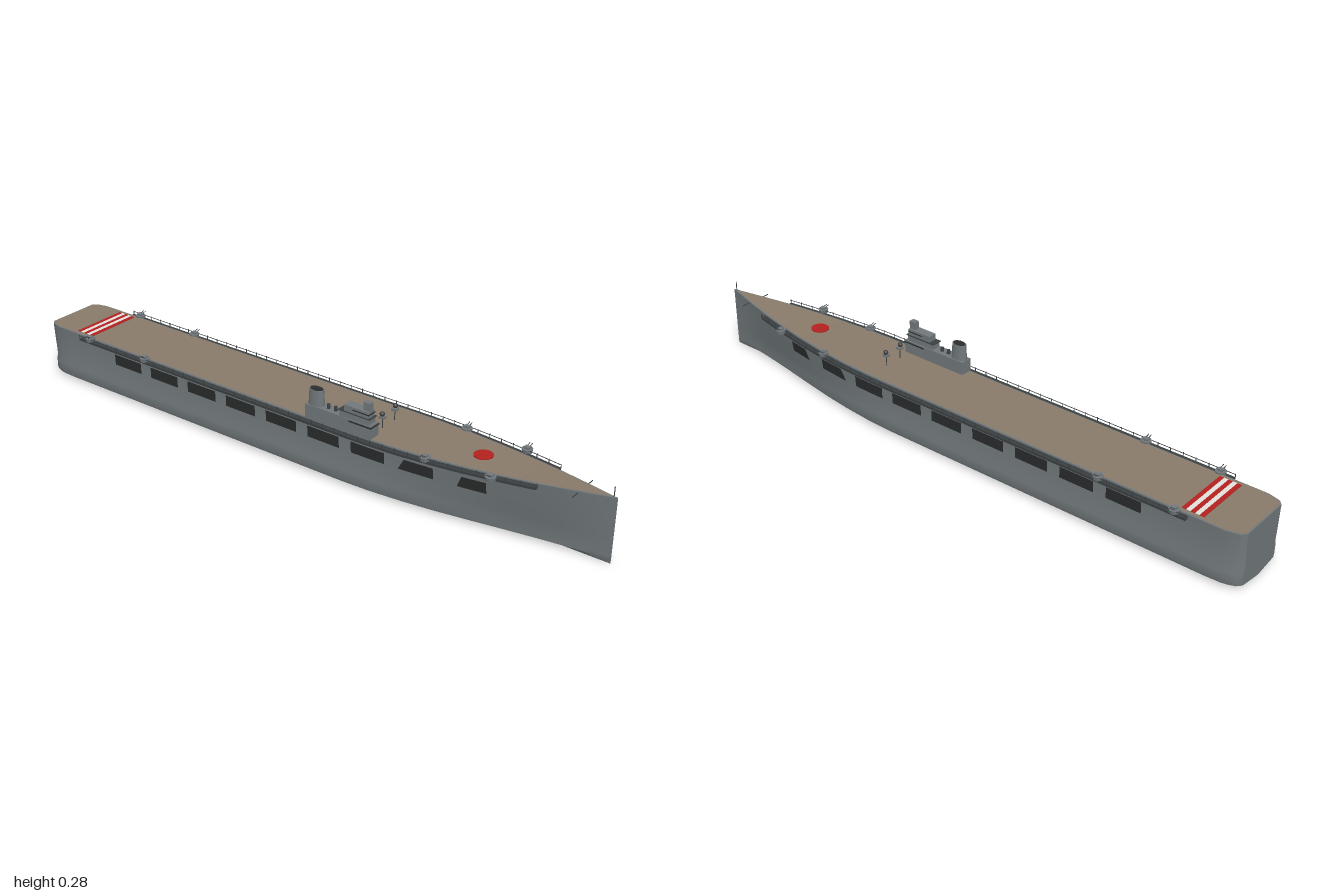
import * as THREE from 'three';
import { toCreasedNormals } from 'three/addons/utils/BufferGeometryUtils.js';

const mat = (name, color) => new THREE.MeshStandardMaterial({ name, color, side: THREE.DoubleSide });

// Half widths along the ship as [x, halfWidth]: deck edge and lower hull
const DECK = [[-1, .085], [-.988, .099], [-.95, .109], [.3, .109], [.4, .106], [.5, .098], [.6, .086], [.7, .07], [.8, .051], [.9, .027], [1, .001]];
const BILGE = [[-1, .082], [-.985, .1], [-.94, .111], [.2, .111], [.3, .107], [.4, .097], [.5, .083], [.6, .065], [.7, .046], [.8, .028], [.9, .012], [1, .001]];
const lerp = THREE.MathUtils.lerp;

function lookup(table, x) {
  for (let i = 1; i < table.length; i++) {
    const [x0, w0] = table[i - 1], [x1, w1] = table[i];
    if (x <= x1) return lerp(w0, w1, (x - x0) / (x1 - x0));
  }
  return table[table.length - 1][1];
}
const deckW = (x) => lookup(DECK, x);
const deckY = (x) => .178 + .022 * Math.pow(Math.max(0, (x - .2) / .8), 1.5);
const waistW = (x) => lerp(lookup(BILGE, x), deckW(x), .3) * .95;
const sideZ = (x, y) => lerp(waistW(x), deckW(x), (y - .07) / (deckY(x) - .07));

// One side of a hull section, deck edge down to keel: [y, z]
function halfSection(x) {
  const b = lookup(BILGE, x);
  return [[deckY(x), deckW(x)], [.07, waistW(x)], [.05, b], [.022, b], [.012, b * .97], [0, 0]];
}

// Surface from a rule giving a point for each grid position
function grid(nu, nv, point) {
  const pos = [], idx = [];
  for (let i = 0; i <= nu; i++) for (let j = 0; j <= nv; j++) pos.push(...point(i, j));
  for (let i = 0; i < nu; i++) for (let j = 0; j < nv; j++) {
    const a = i * (nv + 1) + j, b = a + nv + 1;
    idx.push(a, a + 1, b, b, a + 1, b + 1);
  }
  const g = new THREE.BufferGeometry();
  g.setAttribute('position', new THREE.Float32BufferAttribute(pos, 3));
  g.setIndex(idx);
  return toCreasedNormals(g, .6);
}

export function createModel() {
  const ship = new THREE.Group();
  const hullMat = mat('hull grey', 0x70777a);
  const deckMat = mat('deck brown', 0x887a69);
  const darkMat = mat('dark grey', 0x3a3f41);
  const openMat = mat('opening black', 0x2a2c2d);
  const redMat = mat('red', 0xb3211f);
  const whiteMat = mat('white', 0xe2e0dc);

  const add = (name, geo, material, x = 0, y = 0, z = 0) => {
    const m = new THREE.Mesh(geo, material);
    m.name = name;
    m.position.set(x, y, z);
    ship.add(m);
    return m;
  };
  const box = (name, material, x0, x1, y0, y1, z0, z1) =>
    add(name, new THREE.BoxGeometry(x1 - x0, y1 - y0, z1 - z0), material, (x0 + x1) / 2, (y0 + y1) / 2, (z0 + z1) / 2);

  // Hull shell, stern plate and deck
  const xs = [-1, -.996, -.988, -.97, -.95, -.9];
  for (let x = -.8; x < 1.001; x += .05) xs.push(Math.min(x, 1));
  const last = xs.length - 1;
  add('hull', grid(last, 10, (i, j) => {
    const [y, z] = halfSection(xs[i])[j <= 5 ? j : 10 - j];
    return [xs[i], y, j <= 5 ? z : -z];
  }), hullMat);
  add('sternPlate', grid(1, 5, (i, j) => {
    const [y, z] = halfSection(-1)[j];
    return [-1, y, i ? z : -z];
  }), hullMat);
  add('deckRim', grid(last, 1, (i, j) => [xs[i], deckY(xs[i]), (j ? 1 : -1) * deckW(xs[i])]), hullMat);
  add('flightDeck', grid(last, 1, (i, j) => {
    const x = Math.max(-.996, Math.min(.99, xs[i]));
    return [x, deckY(x) + .0012, (j ? 1 : -1) * Math.max(0, deckW(x) - .004)];
  }), deckMat);

  // Stern stripes and bow disc
  for (let k = 0; k < 5; k++) {
    const x = -.877 + k * .0135;
    box('sternStripe', k % 2 ? whiteMat : redMat, x, x + .0135, .179, .181, -.094, .094);
  }
  const disc = add('bowDisc', new THREE.CylinderGeometry(.028, .028, .004, 32), redMat, .6, deckY(.6) + .002, 0);
  disc.rotation.z = .02;

  // Hull openings: [bottom left, top left, right]
  const openings = [[.39, .41, .5], [.57, .585, .655]];
  for (let k = 0; k < 7; k++) openings.push([-.697 + k * .155, -.697 + k * .155, -.584 + k * .155]);

  for (const s of [1, -1]) {
    for (const [xb, xt, xr] of openings) {
      add('hullOpening', grid(4, 2, (i, j) => {
        const y = lerp(.153, .117, j / 2);
        const x = lerp(lerp(xt, xb, j / 2), xr, i / 4);
        return [x, y, s * (sideZ(x, y) + .002)];
      }), openMat);
    }

    // Edge gallery with a low railing
    const gx = (i) => lerp(-.84, .8, i / 40);
    const sweep = (inner, outer, low, high) => grid(40, 4, (i, j) => {
      const x = gx(i), top = j % 4 < 2 || j === 4, out = j === 1 || j === 2;
      return [x, deckY(x) + (top ? high : low), s * (deckW(x) + (out ? outer : inner))];
    });
    add('gallery', sweep(-.003, .016, -.011, -.004), darkMat);
    add('galleryRail', sweep(.0145, .016, .004, .0055), darkMat);
    for (let i = 0; i <= 40; i++) {
      const x = gx(i), z = s * (deckW(x) + .015), y = deckY(x);
      box('railPost', darkMat, x - .0008, x + .0008, y - .006, y + .008, z - .0008, z + .0008);
    }

    // Gun mounts
    for (const x of [-.8, -.56, .48, .68]) {
      const y = deckY(x), z = s * (deckW(x) + (x > .6 ? .022 : .006));
      add('gunTub', new THREE.CylinderGeometry(.016, .014, .012, 16), hullMat, x, y, z);
      box('gunShield', hullMat, x - .008, x + .008, y + .006, y + .012, z - .007, z + .007);
      for (const dx of [-.004, .004]) {
        const b = add('gunBarrel', new THREE.CylinderGeometry(.0012, .0012, .022, 6), darkMat, x + dx, y + .011, z + s * .009);
        b.rotation.x = s * 1.3;
      }
    }

    // Deck directors ahead of the island
    const dz = s * .03;
    box('directorPost', darkMat, .284, .286, .178, .212, dz - .001, dz + .001);
    box('directorBase', hullMat, .277, .293, .211, .218, dz - .008, dz + .008);
    add('directorHead', new THREE.SphereGeometry(.0075, 14, 10), darkMat, .285, .225, dz * 1.08);
  }

  // Island: base, bridge, mast block
  box('islandBase', hullMat, .07, .3, .176, .221, .071, .109);
  box('bridge', hullMat, .19, .292, .221, .24, .075, .107);
  box('bridgeUpper', hullMat, .205, .29, .24, .26, .077, .106);
  box('bridgeTower', hullMat, .268, .29, .26, .285, .083, .1);
  box('bridgeWindows', openMat, .225, .3015, .213, .217, .0695, .1105);
  box('upperWindows', openMat, .235, .2915, .25, .253, .076, .107);
  box('platform', darkMat, .186, .296, .2385, .2405, .073, .109);

  // Funnel: oval trunk with dark cap
  const funnel = add('funnel', new THREE.CylinderGeometry(.024, .027, .05, 24), hullMat, .098, .245, .091);
  funnel.scale.z = .62;
  const cap = add('funnelCap', new THREE.CylinderGeometry(.021, .021, .003, 24), openMat, .098, .2702, .091);
  cap.scale.z = .62;
  for (const x of [.14, .165]) add('ventilator', new THREE.CylinderGeometry(.005, .006, .014, 10), darkMat, x, .227, .09);

  // Bow staff and cross spar
  box('bowStaff', darkMat, .988, .99, .195, .23, -.001, .001);
  box('bowSpar', darkMat, .899, .901, .19, .192, -.055, .055);
  return ship;
}
